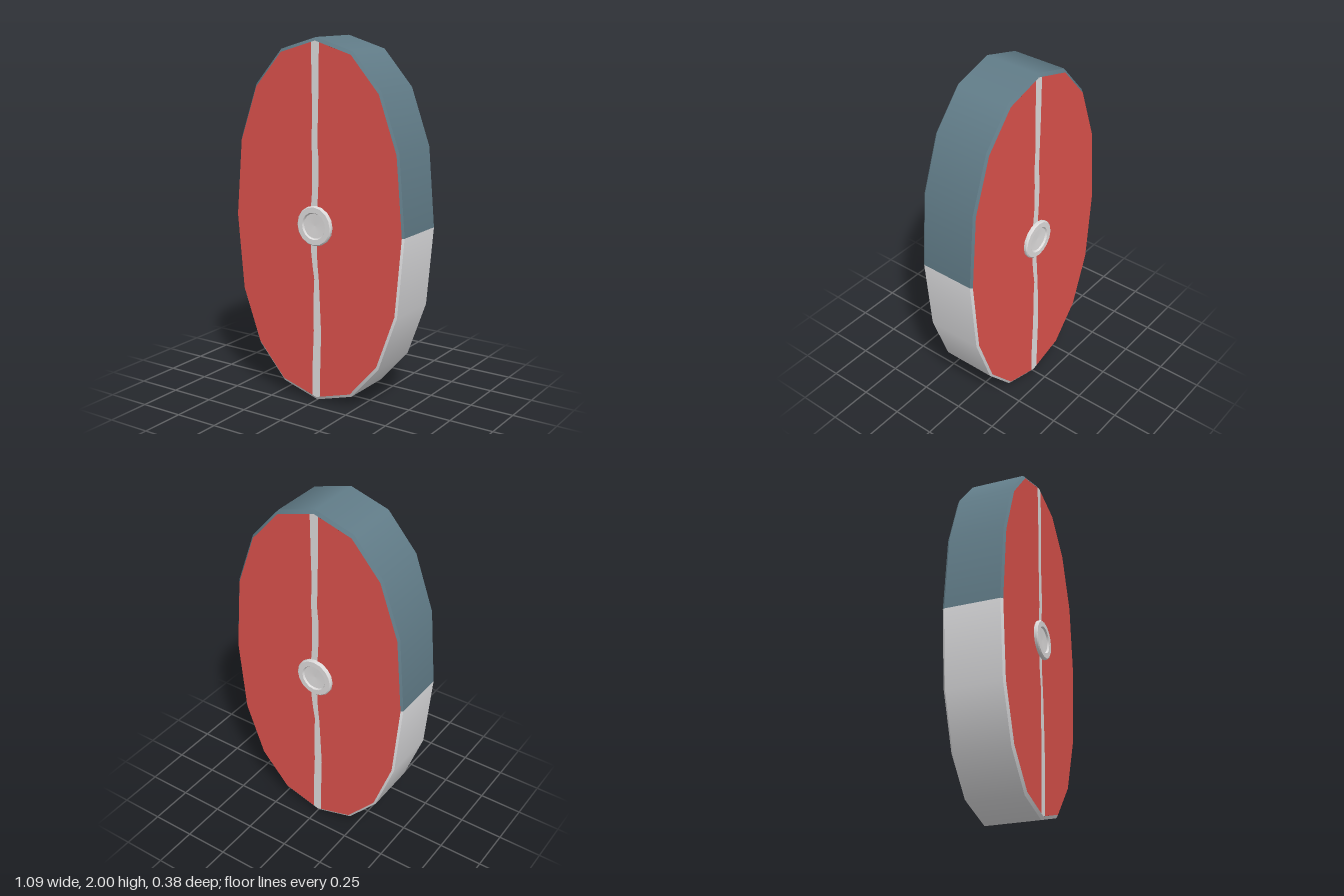
import * as THREE from 'three';
import { mergeGeometries } from 'three/addons/utils/BufferGeometryUtils.js';

const RX = 0.545, RY = 1, SIDES = 16, INSET = 0.982, DEPTH = 0.168;

function material(name, color) {
  const m = new THREE.MeshStandardMaterial({ color });
  m.name = name;
  return m;
}

// Lathe around z with a crisp edge at every profile point
function crispLathe(profile, segments, start = 0, length = Math.PI * 2) {
  const bands = [];
  for (let i = 0; i < profile.length - 1; i++) {
    const pts = [profile[i], profile[i + 1]].map(([r, z]) => new THREE.Vector2(r, z));
    bands.push(new THREE.LatheGeometry(pts, segments, start, length));
  }
  return mergeGeometries(bands).rotateX(Math.PI / 2);
}

// Turns a point on a circle into one on a slightly fuller outline
function fuller(x, y) {
  const r = Math.hypot(x, y);
  const bulge = (v, power) => Math.sign(v) * r * Math.abs(v / r) ** power;
  return new THREE.Vector2(bulge(x, 0.92), bulge(y, 0.87));
}

// Edges of the pale centre line: [y, left x, right x], from top to bottom
const SEAM = [
  [0.75, -0.022, 0.022], [0.6, -0.019, 0.018], [0.45, -0.025, 0.013], [0.35, -0.02, 0.022],
  [0.2, -0.021, 0.018], [0.1, -0.03, 0.012], [-0.15, -0.03, 0.008], [-0.22, -0.022, 0.012],
  [-0.3, -0.01, 0.02], [-0.38, -0.014, 0.024], [-0.6, -0.015, 0.034], [-0.8, -0.024, 0.028],
];
const END = 0.025;
const endY = INSET * RY - END * 0.3; // where the seam meets the outline

function outlinePoint(i) {
  const a = (i / SIDES) * Math.PI * 2;
  return fuller(Math.sin(a) * INSET, Math.cos(a) * INSET).multiply(new THREE.Vector2(RX, RY));
}

// One half of the cut face: side +1 is the half at +x
function fleshShape(side) {
  const pts = [new THREE.Vector2(side * END, endY)];
  for (let i = 1; i < SIDES / 2; i++) pts.push(outlinePoint(side * i));
  pts.push(new THREE.Vector2(side * END, -endY));
  for (const [y, l, r] of [...SEAM].reverse()) pts.push(new THREE.Vector2(side > 0 ? r : l, y));
  return new THREE.Shape(pts);
}

function seamShape() {
  const pts = [new THREE.Vector2(0, RY * INSET), new THREE.Vector2(END, endY)];
  for (const [y, , r] of SEAM) pts.push(new THREE.Vector2(r, y));
  pts.push(new THREE.Vector2(END, -endY), new THREE.Vector2(0, -RY * INSET), new THREE.Vector2(-END, -endY));
  for (const [y, l] of [...SEAM].reverse()) pts.push(new THREE.Vector2(l, y));
  pts.push(new THREE.Vector2(-END, endY));
  return new THREE.Shape(pts);
}

// Half of the bevelled rim, starting at the given angle
function rimHalf(start) {
  const profile = [[INSET, -DEPTH], [1, -0.156], [1, 0.156], [INSET, DEPTH]];
  const geometry = crispLathe(profile, SIDES / 2, start, Math.PI);
  const pos = geometry.attributes.position;
  for (let i = 0; i < pos.count; i++) {
    const p = fuller(pos.getX(i), pos.getY(i));
    pos.setXY(i, p.x, p.y);
  }
  return geometry.scale(RX, RY, 1);
}

export function createModel() {
  const group = new THREE.Group();
  group.name = 'fishSteak';
  const skin = material('blue grey skin', 0x617c88);
  const belly = material('pale belly', 0xdcdcde);
  const flesh = material('red flesh', 0xdc524c);
  const bone = material('bone', 0xdedcdc);

  const add = (parent, name, geometry, mat) => {
    const mesh = new THREE.Mesh(geometry, mat);
    mesh.name = name;
    parent.add(mesh);
    return mesh;
  };

  const body = new THREE.Group();
  body.name = 'body';
  body.position.y = RY;
  group.add(body);

  // Rim, dark above and pale below
  add(body, 'backSkin', rimHalf(Math.PI / 2), skin);
  add(body, 'bellySkin', rimHalf(-Math.PI / 2), belly);

  // The same cut face on the front and, turned around, on the back
  const boneProfile = [[0.11, 0.16], [0.11, 0.182], [0.104, 0.188], [0.075, 0.188], [0.069, 0.178], [0, 0.175]];
  for (const [name, turn] of [['frontCut', 0], ['backCut', Math.PI]]) {
    const cut = new THREE.Group();
    cut.name = name;
    cut.rotation.y = turn;
    body.add(cut);
    for (const side of [1, -1]) {
      const half = add(cut, side > 0 ? 'leftFlesh' : 'rightFlesh', new THREE.ShapeGeometry(fleshShape(side)), flesh);
      half.position.z = DEPTH;
    }
    add(cut, 'centreSeam', new THREE.ShapeGeometry(seamShape()), bone).position.z = DEPTH;
    add(cut, 'spineBone', crispLathe(boneProfile, 16), bone);
  }
  return group;
}
